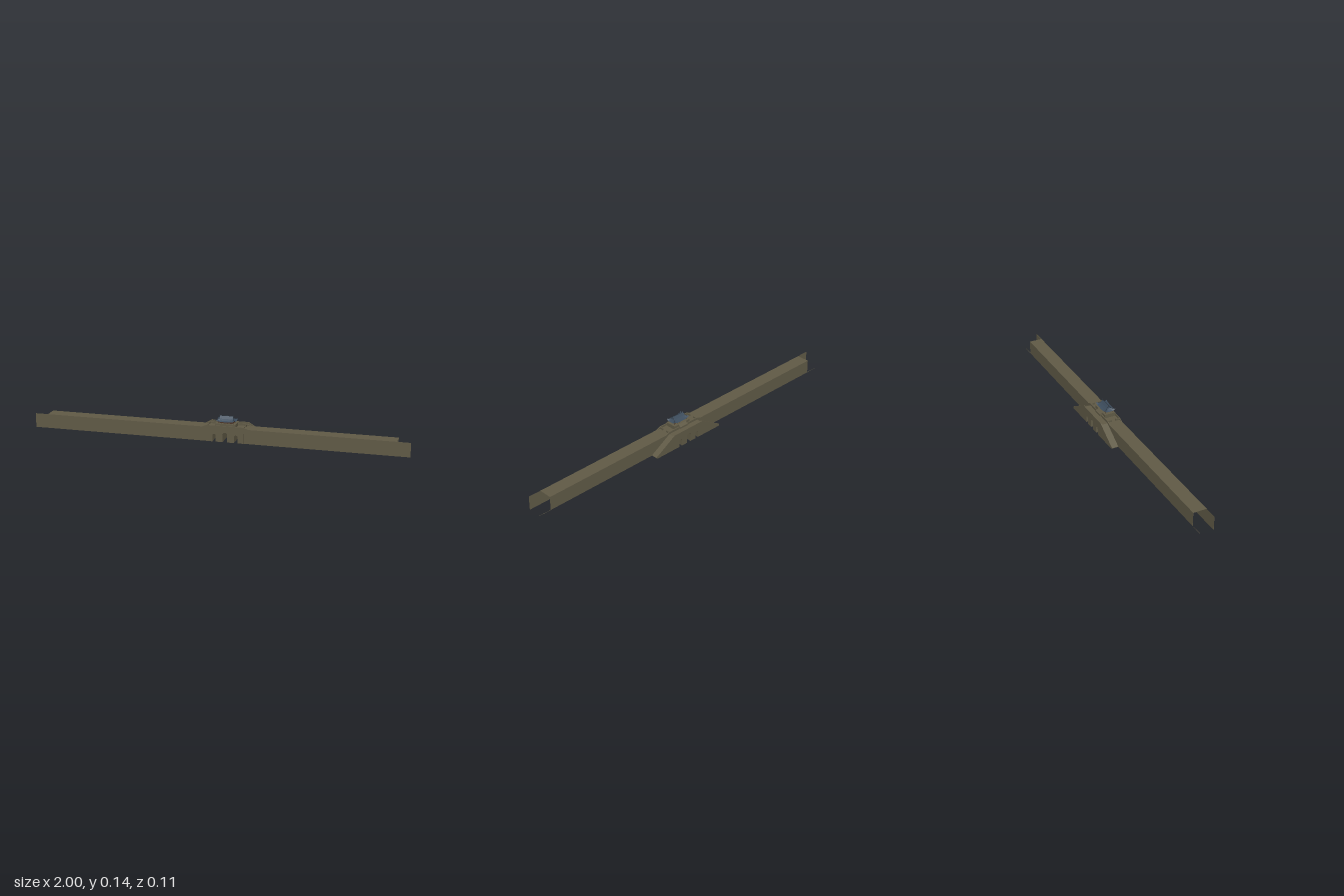
import * as THREE from 'three';

const mat = (name, color, side = THREE.FrontSide) => {
  const m = new THREE.MeshStandardMaterial({ color, side });
  m.name = name;
  return m;
};

export function createModel() {
  const stone = mat('olive stone', 0x605a46, THREE.DoubleSide);
  const tile = mat('slate blue tile', 0x3c4c5c, THREE.DoubleSide);
  const ridgeMat = mat('dark ridge', 0x28323c);
  const wood = mat('brown timber', 0x4c3426);
  const root = new THREE.Group();
  root.name = 'gatedWall';

  const CX = 0.046, CZ = 0.024;          // gate axis, pavilion axis
  const F = 0.058, B = -0.016;           // front and back of the gate
  const G0 = CX - 0.1, G1 = CX + 0.1;    // gate ends
  const WALL = 0.076;

  const add = (name, geo, material) => {
    const m = new THREE.Mesh(geo, material);
    m.name = name;
    root.add(m);
    return m;
  };
  // Box given by its limits
  const box = (name, material, x0, x1, y0, y1, z0, z1) => {
    const m = add(name, new THREE.BoxGeometry(x1 - x0, y1 - y0, z1 - z0), material);
    m.position.set((x0 + x1) / 2, (y0 + y1) / 2, (z0 + z1) / 2);
    return m;
  };
  const extrude = (name, shape, z0, z1) => {
    const g = new THREE.ExtrudeGeometry(shape, { depth: z1 - z0, bevelEnabled: false, curveSegments: 8 });
    g.translate(0, 0, z0);
    return add(name, g, stone);
  };

  // Three round-topped passages, cut upward from the ground line
  const arches = [[CX - 0.058, 0.009, 0.041], [CX, 0.0125, 0.052], [CX + 0.058, 0.01, 0.041]];
  const archedShape = (start, top) => {
    const s = new THREE.Shape();
    s.moveTo(start[0], start[1]);
    for (const [x, r, h] of arches) {
      s.lineTo(x - r, 0);
      s.lineTo(x - r, h - r);
      s.absarc(x, h - r, r, Math.PI, 0, true);
      s.lineTo(x + r, 0);
    }
    top.forEach(p => s.lineTo(p[0], p[1]));
    s.closePath();
    return s;
  };

  // Long hollow wall: front sheet, walkway and back sheet, open below and at the ends
  for (const s of [-1, 1]) {
    const inner = s < 0 ? G0 : G1;
    const span = (name, end, y0, y1, z0, z1) =>
      box(name, stone, Math.min(inner, end * s), Math.max(inner, end * s), y0, y1, z0, z1);
    span('wallFront', 1, 0, WALL, 0.0555, 0.0565);
    span('wallWalkway', 0.93, WALL - 0.001, WALL, B, 0.0565);
    span('wallBack', 0.93, 0, WALL, B, B + 0.001);
    span('wallGroundStrip', 1, 0, 0.001, B, B + 0.001);
  }

  // Gate block
  extrude('gateBlock', archedShape([G0, 0], [[G1, 0], [G1, WALL], [G0, WALL]]), B, F);

  // Gate parapet, with a doorway gap at each end
  const P = 0.086, T = 0.005;
  box('frontParapet', stone, G0, G1, WALL, P, F - T, F);
  box('backParapet', stone, G0, G1, WALL, P, B, B + T);
  for (const x of [G0, G1 - T]) {
    box('endParapet', stone, x, x + T, WALL, P, 0.031, F - T);
    box('endParapet', stone, x, x + T, WALL, P, B + T, 0.01);
  }

  // Low shoulders where the wall rises to the gate
  for (const s of [-1, 1]) {
    const x = CX + s * 0.1;
    const sh = new THREE.Shape([[x, WALL], [x + s * 0.022, WALL], [x, P - 0.001]].map(p => new THREE.Vector2(...p)));
    extrude('wallShoulder', sh, F - T, F - 0.001);
    extrude('wallShoulder', sh, B, B + T);
  }

  // Terrace under the pavilion, with a sloped stair behind
  box('terrace', stone, CX - 0.054, CX + 0.054, WALL, 0.096, -0.008, 0.051);
  const stair = new THREE.Shape([[0.008, WALL], [0.022, WALL], [0.022, 0.085], [0.008, 0.096]].map(p => new THREE.Vector2(...p)));
  const stairGeo = new THREE.ExtrudeGeometry(stair, { depth: 0.05, bevelEnabled: false });
  stairGeo.rotateY(Math.PI / 2);         // shape x becomes -z, depth becomes x
  stairGeo.translate(CX - 0.025, 0, 0);
  add('terraceStair', stairGeo, stone);

  // Rear landing with a ramp down each side, and a taller outer parapet
  const rampProfile = drop => archedShape([CX - 0.222, 0], [
    [CX + 0.222, 0], [CX + 0.222, 0.012 - drop], [CX + 0.1, 0.084 - drop],
    [CX - 0.1, 0.084 - drop], [CX - 0.222, 0.012 - drop]]);
  extrude('rearRamps', rampProfile(0.01), -0.051, B);
  extrude('rearRampParapet', rampProfile(0), -0.056, -0.051);

  // Pavilion body and posts
  box('pavilionBody', wood, CX - 0.034, CX + 0.034, 0.096, 0.11, CZ - 0.013, CZ + 0.013);
  for (let i = 0; i < 6; i++) {
    for (const s of [-1, 1]) {
      const post = add('pavilionPost', new THREE.CylinderGeometry(0.0015, 0.0015, 0.013, 6), wood);
      post.position.set(CX - 0.04 + i * 0.016, 0.1025, CZ + s * 0.019);
    }
  }
  box('eaveBeam', wood, CX - 0.043, CX + 0.043, 0.104, 0.108, CZ - 0.021, CZ + 0.021);

  // Curved hipped roof: rectangular rings, with the eave corners lifted
  const rings = [[0.052, 0.031, 0.107, 0.009], [0.045, 0.021, 0.111, 0.004],
    [0.037, 0.0115, 0.119, 0.001], [0.036, 0.005, 0.127, 0], [0.035, 0.0005, 0.133, 0]];
  const N = 8, pos = [], idx = [];
  const corners = [[-1, 1], [1, 1], [1, -1], [-1, -1]];
  for (const [hx, hz, y, lift] of rings) {
    corners.forEach((a, k) => {
      const b = corners[(k + 1) % 4];
      for (let i = 0; i < N; i++) {
        const t = i / N, u = Math.abs(2 * t - 1);
        pos.push(CX + hx * (a[0] + (b[0] - a[0]) * t), y + lift * u ** 4, CZ + hz * (a[1] + (b[1] - a[1]) * t));
      }
    });
  }
  const M = 4 * N;
  for (let r = 0; r < rings.length - 1; r++) {
    for (let i = 0; i < M; i++) {
      const a = r * M + i, b = r * M + (i + 1) % M;
      idx.push(a, b, b + M, a, b + M, a + M);
    }
  }
  let roof = new THREE.BufferGeometry();
  roof.setAttribute('position', new THREE.Float32BufferAttribute(pos, 3));
  roof.setIndex(idx);
  roof = roof.toNonIndexed();
  roof.computeVertexNormals();
  add('pavilionRoof', roof, tile);

  // Ridges: the top ridge with raised ends, and four hip ridges
  const tube = (name, pts, r) => add(name, new THREE.TubeGeometry(
    new THREE.CatmullRomCurve3(pts.map(p => new THREE.Vector3(...p))), 10, r, 6), ridgeMat);
  tube('topRidge', [[CX - 0.038, 0.137, CZ], [CX - 0.033, 0.1335, CZ], [CX, 0.133, CZ],
    [CX + 0.033, 0.1335, CZ], [CX + 0.038, 0.137, CZ]], 0.0014);
  for (const [sx, sz] of corners) {
    tube('hipRidge', rings.map(([hx, hz, y, lift]) => [CX + sx * hx, y + lift, CZ + sz * hz]), 0.0011);
  }
  return root;
}
